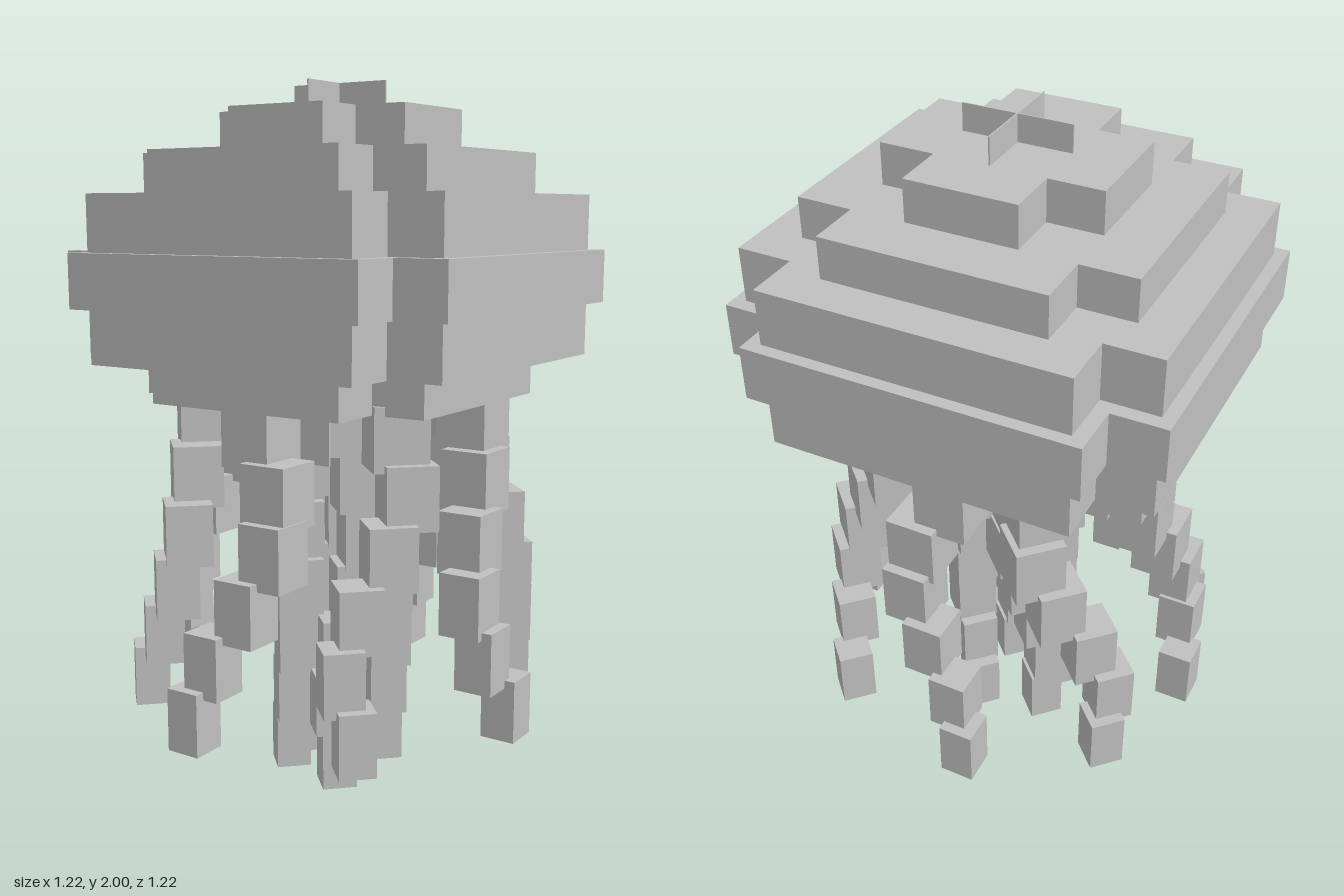
import * as THREE from 'three';

export function createModel() {
  const model = new THREE.Group();
  const grey = new THREE.MeshStandardMaterial({ color: 0xc0c0c0 });
  grey.name = 'plainGrey';

  const addBox = (parent, name, size, pos, turn = 0) => {
    const mesh = new THREE.Mesh(new THREE.BoxGeometry(...size), grey);
    mesh.name = name;
    mesh.position.set(...pos);
    mesh.rotation.y = turn;
    parent.add(mesh);
  };

  // Bell: stacked plus-shaped slabs [bottom, top, long half, short half]
  const bell = new THREE.Group();
  bell.name = 'bell';
  model.add(bell);
  const slabs = [
    [1.13, 1.24, 0.46, 0.305],
    [1.24, 1.39, 0.575, 0.42],
    [1.39, 1.54, 0.61, 0.46],
    [1.54, 1.695, 0.575, 0.42],
    [1.695, 1.81, 0.46, 0.305],
    [1.81, 1.925, 0.305, 0.153],
  ];
  for (const [y0, y1, a, b] of slabs) {
    const outline = new THREE.Shape([
      [a, -b], [a, b], [b, b], [b, a], [-b, a], [-b, b],
      [-a, b], [-a, -b], [-b, -b], [-b, -a], [b, -a], [b, -b],
    ].map(([x, y]) => new THREE.Vector2(x, y)));
    const geometry = new THREE.ExtrudeGeometry(outline, { depth: y1 - y0, bevelEnabled: false });
    geometry.rotateX(-Math.PI / 2);
    const slab = new THREE.Mesh(geometry, grey);
    slab.name = 'bellSlab';
    slab.position.y = y0;
    bell.add(slab);
  }

  // Thin crossed fins on the crown
  for (const turn of [0, Math.PI / 2]) {
    addBox(bell, 'crownFin', [0.305, 0.075, 0.004], [0, 1.9625, 0], turn);
  }

  // Thin skirt panels under the front and back of the bell
  for (const side of [-1, 1]) {
    addBox(bell, 'skirtPanel', [0.34, 0.15, 0.006], [0, 1.055, side * 0.3]);
  }

  // A tentacle is a chain of tapering blocks that spreads out and sways sideways
  const addTentacle = (name, angle, rows, bottom, step, radius, spread, sway) => {
    const tentacle = new THREE.Group();
    tentacle.name = name;
    model.add(tentacle);
    for (let i = 1; i <= rows; i++) {
      const r = radius + spread * i;
      const t = sway * Math.sin(angle + 0.93 * (rows - i));
      const width = 0.1 + 0.01 * (rows - i);
      addBox(tentacle, name + 'Block', [width, 0.175, width], [
        r * Math.cos(angle) - t * Math.sin(angle),
        bottom + step * (rows - i) + 0.0875,
        r * Math.sin(angle) + t * Math.cos(angle),
      ], -angle);
    }
  };

  for (let i = 0; i < 8; i++) {
    addTentacle('outerTentacle', i * Math.PI / 4, 6, 0.215, 0.153, 0.35, 0.034, 0.1);
  }
  for (let i = 0; i < 4; i++) {
    addTentacle('innerTentacle', (i + 0.5) * Math.PI / 2, 7, 0, 0.163, 0.12, 0.003, 0.05);
  }

  return model;
}
